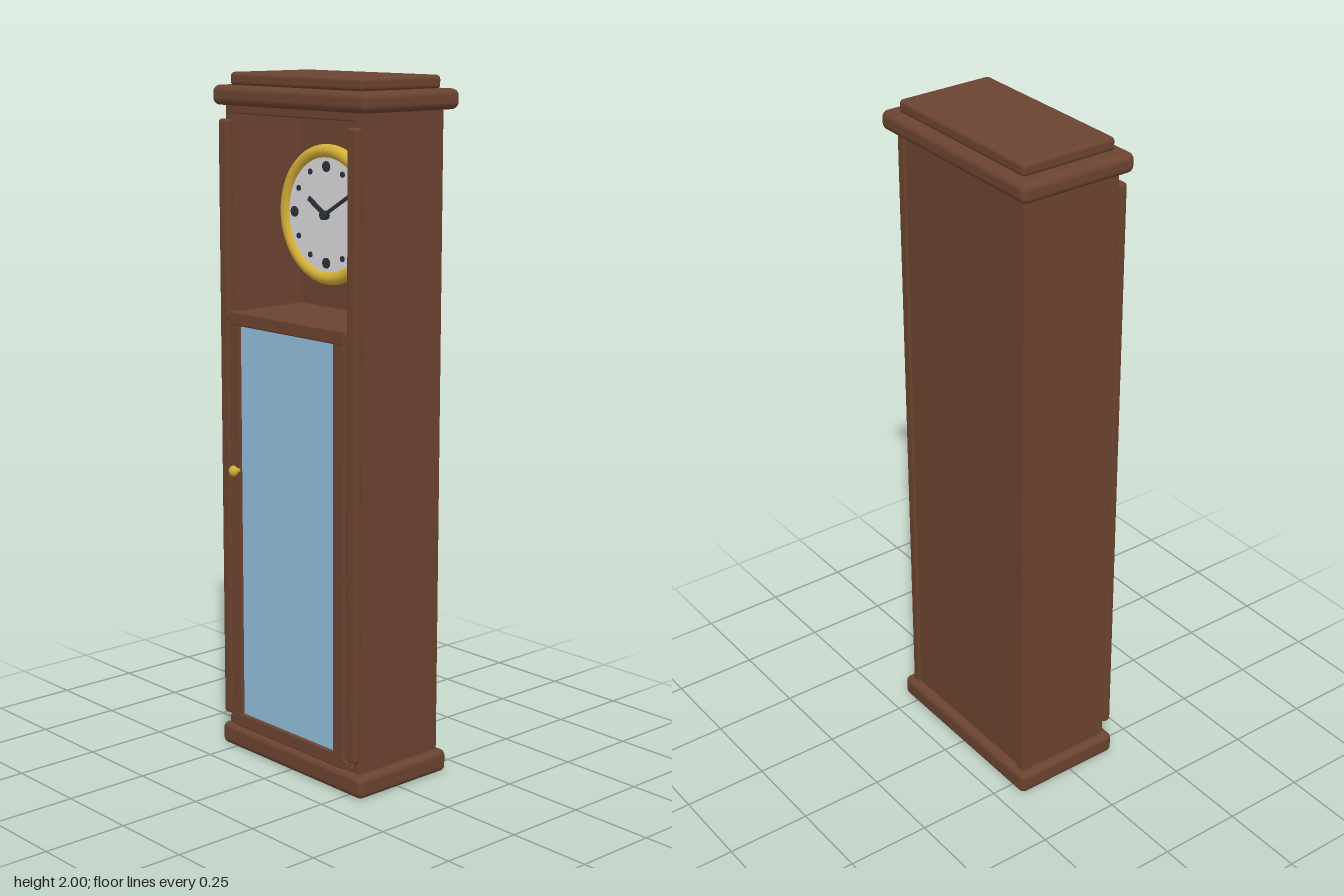
import * as THREE from 'three';
import { RoundedBoxGeometry } from 'three/addons/geometries/RoundedBoxGeometry.js';

const mat = (name, color) => {
  const m = new THREE.MeshStandardMaterial({ color });
  m.name = name;
  return m;
};

export function createModel() {
  const wood = mat('walnut wood', 0x6b4330);
  const brass = mat('brass', 0xd4af37);
  const glass = mat('blue glass', 0x93bfdb);
  const ivory = mat('dial white', 0xd9dadd);
  const ink = mat('dark ink', 0x2b3238);
  const root = new THREE.Group();
  root.name = 'longcaseClock';

  const add = (parent, name, geo, material, x = 0, y = 0, z = 0) => {
    const mesh = new THREE.Mesh(geo, material);
    mesh.name = name;
    mesh.position.set(x, y, z);
    parent.add(mesh);
    return mesh;
  };
  // Softened block given by its limits on each axis
  const block = (parent, name, [x0, x1], [y0, y1], [z0, z1], r = 0.004, m = wood) =>
    add(parent, name, new RoundedBoxGeometry(x1 - x0, y1 - y0, z1 - z0, 3, r), m,
      (x0 + x1) / 2, (y0 + y1) / 2, (z0 + z1) / 2);

  // Plinth, cornice and cap
  block(root, 'plinth', [-0.308, 0.308], [0, 0.066], [-0.187, 0.157], 0.018);
  block(root, 'cornice', [-0.32, 0.32], [1.908, 1.964], [-0.198, 0.162], 0.02);
  block(root, 'cap', [-0.275, 0.275], [1.962, 2], [-0.167, 0.13], 0.012);

  // Case: sides, recessed back, shelf under the clock, header and back rails
  for (const s of [-1, 1]) {
    const span = (a, b) => (s > 0 ? [a, b] : [-b, -a]);
    block(root, 'sidePanel', span(0.255, 0.283), [0.05, 1.92], [-0.168, 0.138]);
    block(root, 'frontStile', span(0.251, 0.289), [0.105, 1.87], [0.136, 0.162], 0.008);
    for (const y of [0.095, 0.63, 1.31])
      block(root, 'hinge', span(0.243, 0.257), [y - 0.01, y + 0.01], [0.14, 0.164], 0.003);
  }
  block(root, 'backPanel', [-0.26, 0.26], [0.05, 1.92], [-0.16, -0.12]);
  block(root, 'shelf', [-0.26, 0.26], [1.29, 1.322], [-0.13, 0.142]);
  block(root, 'caseFloor', [-0.26, 0.26], [0.05, 0.08], [-0.13, 0.138]);
  block(root, 'header', [-0.26, 0.26], [1.885, 1.92], [-0.13, 0.138]);

  // Door with glazed panel and knob
  const door = new THREE.Group();
  door.name = 'door';
  root.add(door);
  block(door, 'doorStileRight', [-0.247, -0.2], [0.078, 1.328], [0.14, 0.165], 0.005);
  block(door, 'doorStileLeft', [0.2, 0.247], [0.078, 1.328], [0.14, 0.165], 0.005);
  block(door, 'doorTopRail', [-0.245, 0.245], [1.288, 1.328], [0.14, 0.166], 0.005);
  block(door, 'doorBottomRail', [-0.245, 0.245], [0.078, 0.12], [0.14, 0.166], 0.005);
  add(door, 'doorGlass', new THREE.BoxGeometry(0.41, 1.18, 0.008), glass, 0, 0.704, 0.153);
  add(door, 'knobStem', new THREE.CylinderGeometry(0.007, 0.007, 0.026, 20), brass,
    -0.208, 0.865, 0.172).rotation.x = Math.PI / 2;
  add(door, 'knob', new THREE.SphereGeometry(0.016, 24, 16), brass,
    -0.208, 0.865, 0.183).scale.z = 0.8;

  // Clock set inside the niche
  const clock = new THREE.Group();
  clock.name = 'clock';
  clock.position.set(0, 1.61, 0);
  root.add(clock);
  block(clock, 'movementHousing', [-0.07, 0.07], [-0.07, 0.07], [-0.125, -0.005]);
  add(clock, 'bezel', new THREE.TorusGeometry(0.178, 0.019, 16, 64), brass);
  add(clock, 'dial', new THREE.CylinderGeometry(0.175, 0.175, 0.014, 64), ivory)
    .rotation.x = Math.PI / 2;
  for (let i = 0; i < 12; i++) {
    const a = (i / 12) * Math.PI * 2;
    const r = i % 3 ? 0.008 : 0.015;
    add(clock, 'hourMark', new THREE.CylinderGeometry(r, r, 0.006, 20), ink,
      Math.sin(a) * 0.135, Math.cos(a) * 0.135, 0.008).rotation.x = Math.PI / 2;
  }

  // Hands pivot at the dial centre
  const hand = (name, length, width, angle, z) => {
    const geo = new RoundedBoxGeometry(width, length, 0.006, 2, 0.003);
    geo.translate(0, length / 2, 0);
    add(clock, name, geo, ink, 0, 0, z).rotation.z = angle;
  };
  hand('hourHand', 0.083, 0.016, Math.PI / 3 - 0.03, 0.013);
  hand('minuteHand', 0.136, 0.011, -Math.PI / 3, 0.018);
  add(clock, 'handHub', new THREE.CylinderGeometry(0.013, 0.013, 0.018, 24), ink, 0, 0, 0.015)
    .rotation.x = Math.PI / 2;

  return root;
}
